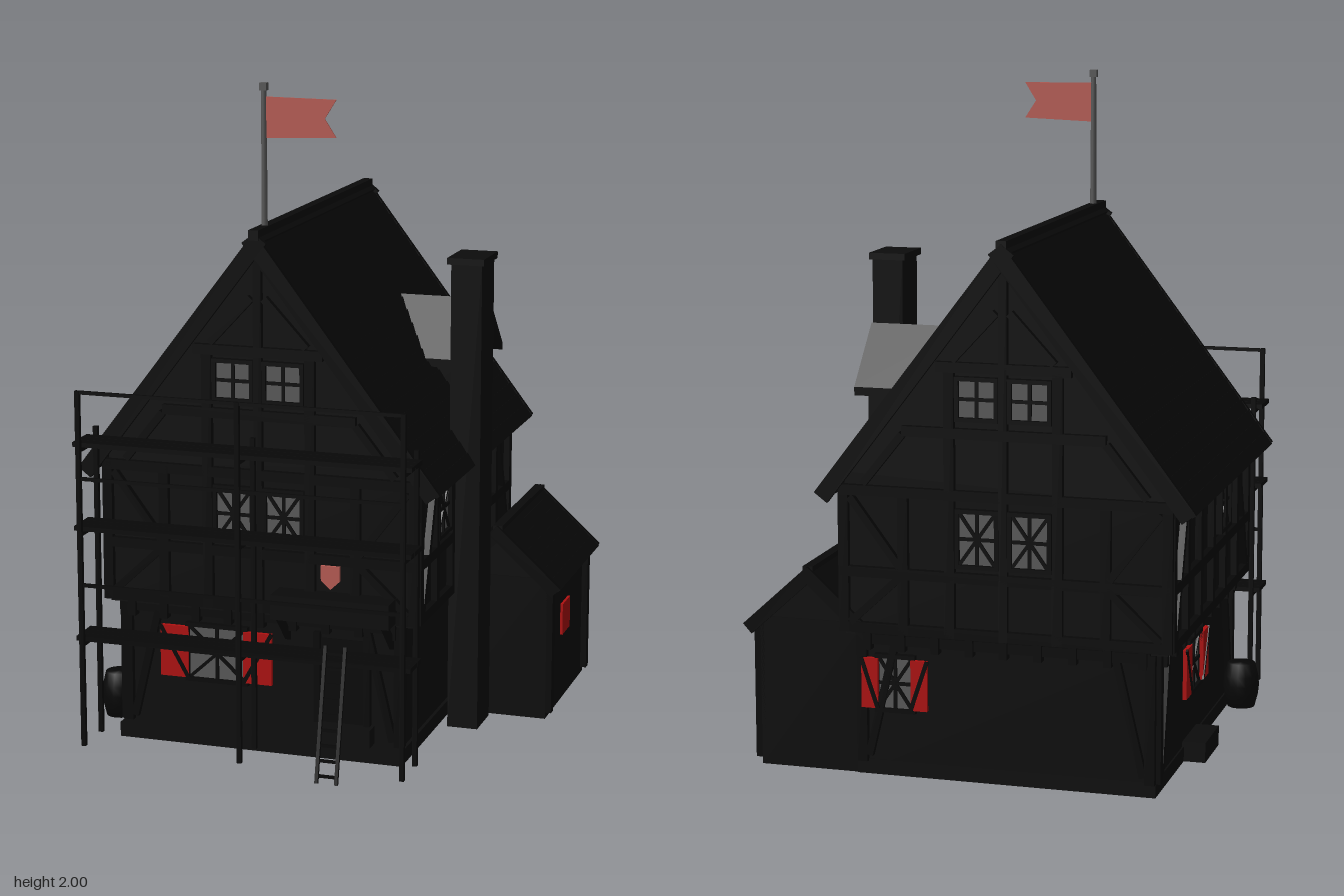
import * as THREE from 'three';

const mat = (name, color, side = THREE.FrontSide) => {
  const m = new THREE.MeshStandardMaterial({ color, side });
  m.name = name;
  return m;
};

export function createModel() {
  const root = new THREE.Group();
  const plaster = mat('plaster', 0x0b0b0b), timber = mat('timber', 0x070707);
  const tiles = mat('roofTiles', 0x0a0a0a), stone = mat('stone', 0x0c0c0c);
  const glass = mat('glass', 0x5a5a5a), red = mat('shutterRed', 0xb01010);
  const cloth = mat('flagCloth', 0xb85c54, THREE.DoubleSide), metal = mat('poleMetal', 0x585858);

  const group = (name, parent = root) => {
    const g = new THREE.Group();
    g.name = name;
    parent.add(g);
    return g;
  };
  const mesh = (name, geo, m, parent = root) => {
    const o = new THREE.Mesh(geo, m);
    o.name = name;
    parent.add(o);
    return o;
  };
  // Box from its two opposite corners
  const box = (name, m, x0, x1, y0, y1, z0, z1, parent = root) => {
    const o = mesh(name, new THREE.BoxGeometry(x1 - x0, y1 - y0, z1 - z0), m, parent);
    o.position.set((x0 + x1) / 2, (y0 + y1) / 2, (z0 + z1) / 2);
    return o;
  };
  // Square bar between two points
  const bar = (name, m, a, b, w, d, parent = root) => {
    const p = new THREE.Vector3(...a), q = new THREE.Vector3(...b);
    const o = mesh(name, new THREE.BoxGeometry(w, p.distanceTo(q), d), m, parent);
    o.position.copy(p).lerp(q, 0.5);
    o.quaternion.setFromUnitVectors(new THREE.Vector3(0, 1, 0), q.sub(p).normalize());
    return o;
  };
  const prism = (name, m, pts, z0, z1, parent = root) => {
    const s = new THREE.Shape(pts.map(p => new THREE.Vector2(...p)));
    const o = mesh(name, new THREE.ExtrudeGeometry(s, { depth: z1 - z0, bevelEnabled: false }), m, parent);
    o.position.z = z0;
    return o;
  };
  const ring = (name, m, x0, x1, z0, z1, y0, y1, t) => {
    const g = group(name);
    box(name + 'Front', m, x0, x1, y0, y1, z1 - t, z1, g);
    box(name + 'Back', m, x0, x1, y0, y1, z0, z0 + t, g);
    box(name + 'Left', m, x1 - t, x1, y0, y1, z0 + t, z1 - t, g);
    box(name + 'Right', m, x0, x0 + t, y0, y1, z0 + t, z1 - t, g);
  };

  // Walls: ground floor is open underneath, upper floor overhangs
  ring('groundWalls', plaster, -0.56, 0.32, -0.64, 0.37, 0, 0.43, 0.03);
  ring('plinth', stone, -0.565, 0.33, -0.645, 0.42, 0, 0.045, 0.05);
  ring('annexWalls', plaster, 0.31, 0.63, -0.64, -0.13, 0, 0.45, 0.03);
  box('upperFloor', plaster, -0.60, 0.36, 0.42, 0.86, -0.65, 0.39);
  prism('atticGable', plaster, [[-0.6, 0.85], [0.36, 0.85], [0.36, 0.9], [-0.12, 1.52], [-0.6, 0.9]], -0.65, 0.39);
  prism('annexGable', plaster, [[0.32, 0.44], [0.625, 0.44], [0.475, 0.58], [0.32, 0.45]], -0.635, -0.135);

  // Tiled roof slopes: one slab with overlapping rows of tiles
  const slope = (name, len, angle, depth, thick, rows, x, y, z, side) => {
    const g = group(name);
    g.position.set(x, y, z);
    g.scale.x = 1;
    g.rotation.set(0, side < 0 ? Math.PI : 0, 0);
    const tilt = group(name + 'Tilt', g);
    tilt.rotation.z = -angle;
    box('roofSlab', tiles, 0, len, -thick, -0.008, -depth / 2, depth / 2, tilt);
    for (let i = 0; i < rows; i++) {
      const p = len / rows;
      const t = box('tileRow', tiles, i * p, (i + 1.08) * p, -0.012, 0, -depth / 2, depth / 2, tilt);
      t.rotation.z = -0.08;
    }
    for (const s of [-1, 1])
      box('bargeBoard', timber, 0, len, -thick - 0.012, 0.002, s * depth / 2 - 0.008, s * depth / 2 + 0.008, tilt);
  };
  for (const s of [-1, 1]) {
    slope('mainRoof', 0.925, 0.92, 1.1, 0.035, 22, -0.12, 1.575, -0.125, s);
    slope('annexRoof', 0.27, 0.74, 0.54, 0.025, 7, 0.475, 0.61, -0.385, s);
  }
  box('ridgeCap', tiles, -0.135, -0.105, 1.555, 1.585, -0.68, 0.435);
  box('annexRidge', tiles, 0.46, 0.49, 0.595, 0.612, -0.655, -0.115);

  // Dormer on the side slope
  const dormer = group('dormer');
  dormer.position.set(0.1, 0, -0.312);
  dormer.rotation.y = Math.PI / 2;
  prism('dormerBody', plaster, [[-0.12, 0.9], [0.12, 0.9], [0.12, 1.12], [0, 1.25], [-0.12, 1.12]], 0, 0.26, dormer);
  prism('dormerRoof', tiles, [[-0.16, 1.09], [0, 1.255], [0.16, 1.09], [0.16, 1.115], [0, 1.282], [-0.16, 1.115]], 0, 0.29, dormer);

  // Chimney
  box('chimney', stone, 0.36, 0.455, 0, 1.445, -0.11, 0.03);
  box('chimneyCap', stone, 0.35, 0.463, 1.445, 1.465, -0.12, 0.04);

  // Wall faces: local frames in which windows and timbers are laid out
  const face = (name, x, z, turn) => {
    const g = group(name);
    g.position.set(x, 0, z);
    g.rotation.y = turn * Math.PI / 2;
    return g;
  };
  const beam = (f, x0, y0, x1, y1, w = 0.03) => bar('beam', timber, [x0, y0, 0.004], [x1, y1, 0.004], w, 0.03, f);
  const casement = (f, cx, cy, w, h, { cross = false, shutter = 0, inside = false } = {}) => {
    const g = group('window', f);
    g.position.set(cx, cy, 0);
    const a = w / 2, b = h / 2;
    box('glass', glass, -a, a, -b, b, 0.001, 0.008, g);
    const strip = (x0, y0, x1, y1, t = 0.01) => bar('glazingBar', timber, [x0, y0, 0.009], [x1, y1, 0.009], t, 0.01, g);
    strip(0, -b, 0, b);
    strip(-a, 0, a, 0);
    if (cross) { strip(-a, -b, a, b); strip(-a, b, a, -b); }
    for (const s of [-1, 1]) {
      bar('frame', timber, [-a - 0.012, s * (b + 0.006), 0.01], [a + 0.012, s * (b + 0.006), 0.01], 0.012, 0.02, g);
      bar('frame', timber, [s * (a + 0.006), -b, 0.01], [s * (a + 0.006), b, 0.01], 0.012, 0.02, g);
      if (shutter) {
        const c = s * (a + shutter / 2);
        box('shutter', red, c - shutter / 2, c + shutter / 2, -b, b, 0.012, 0.024, g);
        strip(c, -b, c, b, 0.005);
        bar('shutterBrace', timber, [c - s * shutter / 2, -b, 0.024], [c + s * shutter / 2, b, 0.024], 0.012, 0.006, g);
      }
    }
    if (inside) {
      box('innerGlass', glass, -a, a, -b, b, -0.036, -0.031, g);
      box('innerBar', timber, -0.005, 0.005, -b, b, -0.039, -0.035, g);
      box('innerBar', timber, -a, a, -0.005, 0.005, -0.039, -0.035, g);
    }
  };

  // Front and back, upper floor and gable
  for (const [z, turn] of [[0.39, 0], [-0.65, 2]]) {
    const f = face(turn ? 'backUpperFace' : 'frontUpperFace', -0.12, z, turn);
    for (const y of [0.445, 0.61, 0.85]) beam(f, -0.49, y, 0.49, y);
    beam(f, -0.3, 1.03, 0.3, 1.03);
    beam(f, -0.2, 1.22, 0.2, 1.22);
    beam(f, 0, 0.43, 0, 1.5, 0.025);
    for (const s of [-1, 1]) {
      for (const x of [0.16, 0.3, 0.48]) beam(f, s * x, 0.43, s * x, x === 0.16 ? 1.22 : 0.86);
      beam(f, s * 0.46, 0.46, s * 0.31, 0.6, 0.022);
      beam(f, s * 0.46, 0.83, s * 0.31, 0.63, 0.022);
      beam(f, s * 0.42, 0.87, s * 0.3, 1.02, 0.022);
      beam(f, s * 0.15, 1.24, s * 0.02, 1.38, 0.022);
      casement(f, s * 0.078, 0.725, 0.105, 0.15, { cross: true });
      casement(f, s * 0.078, 1.13, 0.105, 0.105);
    }
  }
  // Sides of the upper floor
  for (const s of [-1, 1]) {
    const f = face(s < 0 ? 'rightUpperFace' : 'leftUpperFace', s < 0 ? -0.6 : 0.36, -0.13, s);
    for (const y of [0.445, 0.61, 0.84]) beam(f, -0.52, y, 0.52, y);
    for (let i = -3; i <= 3; i++) beam(f, i * 0.17, 0.43, i * 0.17, 0.85);
    for (const t of [-1, 1]) beam(f, t * 0.49, 0.46, t * 0.36, 0.82, 0.022);
    casement(f, s < 0 ? 0.17 : -0.26, 0.725, 0.12, 0.15, { cross: true });
  }
  // Ground floor faces
  const front = face('frontGroundFace', -0.12, 0.37, 0);
  const back = face('backGroundFace', -0.12, -0.64, 2);
  const right = face('rightGroundFace', -0.56, -0.135, -1);
  const annexSide = face('annexSideFace', 0.63, -0.385, 1);
  casement(front, -0.143, 0.28, 0.175, 0.16, { cross: true, shutter: 0.09, inside: true });
  casement(back, -0.33, 0.28, 0.1, 0.15, { cross: true, shutter: 0.05 });
  casement(right, -0.05, 0.28, 0.15, 0.15, { cross: true, shutter: 0.075, inside: true });
  box('annexShutter', red, -0.075, 0.025, 0.22, 0.32, 0.001, 0.009, annexSide).position.x = -0.025;
  for (const [f, h] of [[front, 0.43], [back, 0.43], [right, 0.49]]) {
    beam(f, -h, 0.41, h, 0.41);
    for (const s of [-1, 1]) {
      beam(f, s * h, 0.04, s * h, 0.42);
      beam(f, s * (h - 0.02), 0.06, s * (h - 0.1), 0.4, 0.022);
    }
    for (let i = 0; i < 9; i++) {
      const x = -h + 0.02 + i * (h - 0.02) / 4;
      box('jettyBracket', timber, x - 0.012, x + 0.012, 0.38, 0.43, 0, 0.03, f);
    }
  }
  for (const s of [-1, 1]) beam(annexSide, s * 0.24, 0.02, s * 0.24, 0.44);
  beam(annexSide, -0.25, 0.42, 0.25, 0.42);
  const dormerFace = face('dormerFace', 0.36, -0.312, 1);
  casement(dormerFace, 0, 1.045, 0.1, 0.095);

  // Door with step and canopy
  box('door', timber, 0.06, 0.2, 0.05, 0.36, 0.37, 0.378);
  for (const x of [0.045, 0.2]) box('doorPost', timber, x, x + 0.02, 0.04, 0.38, 0.365, 0.39);
  box('doorStep', stone, 0.03, 0.23, 0, 0.1, 0.365, 0.42);
  box('canopy', tiles, -0.06, 0.305, 0.435, 0.51, 0.36, 0.478);
  for (const x of [-0.04, 0.285]) bar('canopyBrace', timber, [x, 0.35, 0.365], [x, 0.44, 0.455], 0.018, 0.018);

  // Shield sign
  prism('shieldSign', cloth, [[0.083, 0.6], [0.083, 0.555], [0.112, 0.528], [0.141, 0.555], [0.141, 0.6]], 0.425, 0.433);
  box('signBracket', timber, 0.1, 0.124, 0.585, 0.6, 0.39, 0.425);

  // Flag on the ridge
  const pole = mesh('flagPole', new THREE.CylinderGeometry(0.008, 0.01, 0.42, 8), metal);
  pole.position.set(-0.12, 1.78, 0.335);
  box('poleKnob', metal, -0.131, -0.109, 1.978, 2, 0.324, 0.346);
  prism('flag', cloth, [[-0.115, 1.84], [0.1, 1.848], [0.065, 1.902], [0.1, 1.958], [-0.115, 1.96]], 0.333, 0.337);

  // Scaffold
  const scaffold = group('scaffold');
  for (const x of [-0.615, -0.12, 0.38]) {
    box('outerPole', timber, x - 0.007, x + 0.007, 0.02, 1.11, 0.578, 0.592, scaffold);
    box('innerPole', timber, x - 0.007, x + 0.007, 0.02, 0.975, 0.444, 0.458, scaffold);
    for (const y of [0.33, 0.67, 0.925]) box('crossBar', timber, x - 0.006, x + 0.006, y, y + 0.012, 0.445, 0.59, scaffold);
  }
  for (const y of [0.342, 0.682, 0.937])
    for (let i = 0; i < 3; i++)
      box('plank', timber, -0.64, 0.4, y, y + 0.014, 0.462 + i * 0.037, 0.497 + i * 0.037, scaffold);
  for (const y of [0.52, 0.845, 1.105]) box('handRail', timber, -0.615, 0.385, y - 0.005, y + 0.005, 0.578, 0.588, scaffold);

  // Ladder
  const ladder = group('ladder');
  for (const x of [0.15, 0.21]) bar('ladderRail', timber, [x, 0.02, 0.68], [x, 0.41, 0.592], 0.01, 0.01, ladder);
  for (let i = 0; i < 9; i++) {
    const t = (i + 0.5) / 9, y = 0.02 + 0.39 * t, z = 0.68 - 0.088 * t;
    box('rung', timber, 0.15, 0.21, y - 0.004, y + 0.004, z - 0.004, z + 0.004, ladder);
  }

  // Barrel and trough beside the wall
  const profile = [[0, 0], [0.043, 0], [0.053, 0.04], [0.056, 0.07], [0.053, 0.1], [0.043, 0.14], [0, 0.14]];
  const barrel = mesh('barrel', new THREE.LatheGeometry(profile.map(p => new THREE.Vector2(...p)), 14), timber);
  barrel.position.set(-0.622, 0.02, 0.28);
  box('trough', stone, -0.63, -0.56, 0, 0.06, -0.28, -0.09);
  return root;
}
